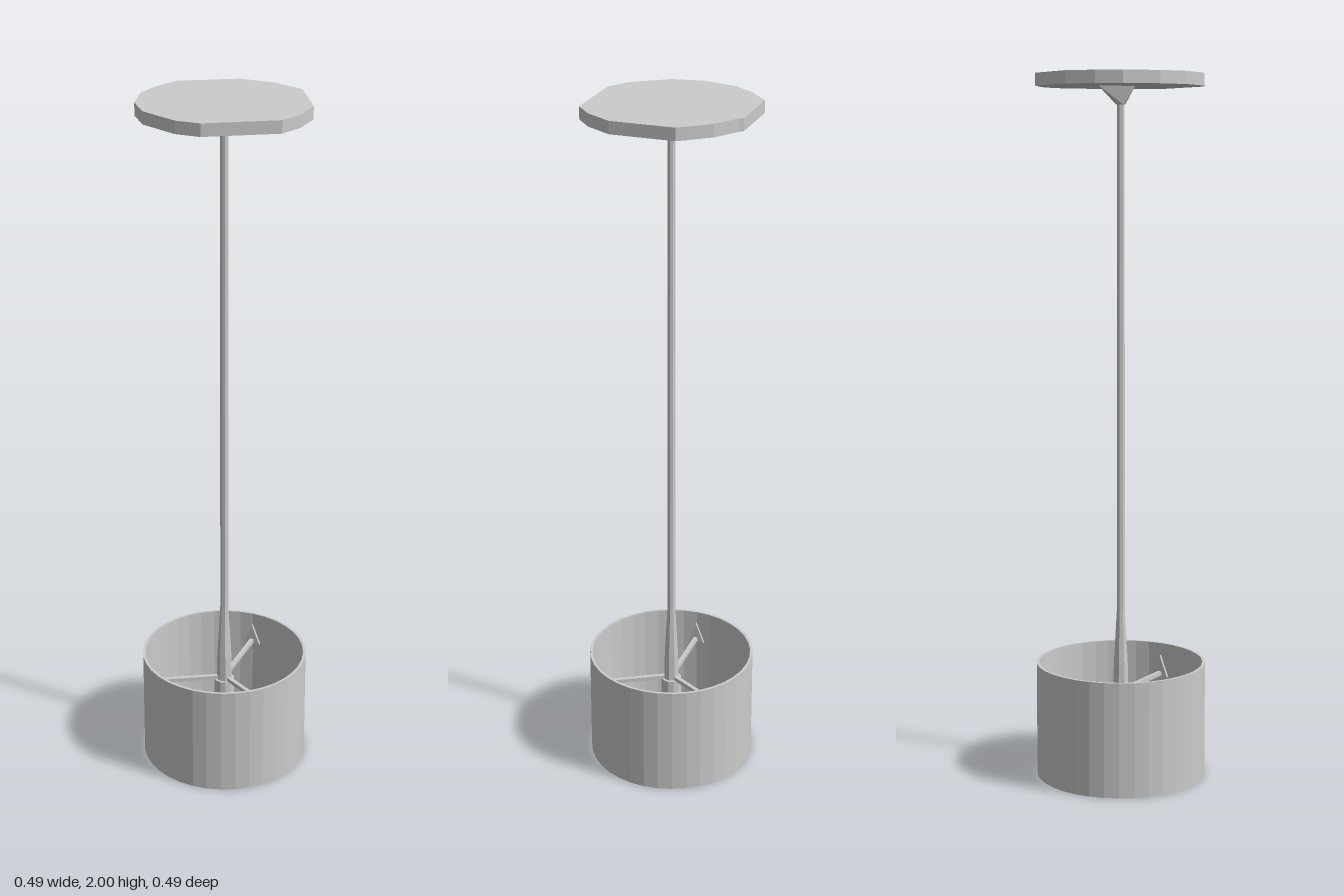
import * as THREE from 'three';
import { ConvexGeometry } from 'three/addons/geometries/ConvexGeometry.js';

export function createModel() {
  const root = new THREE.Group();
  root.name = 'pendantLamp';
  const flat = new THREE.MeshStandardMaterial({ color: 0xcccccc, flatShading: true, side: THREE.DoubleSide });
  const smooth = new THREE.MeshStandardMaterial({ color: 0xcccccc });
  const add = (name, geometry, material = flat, parent = root) => {
    const mesh = new THREE.Mesh(geometry, material);
    mesh.name = name;
    parent.add(mesh);
    return mesh;
  };
  const lathe = (pts, sides) => new THREE.LatheGeometry(pts.map(([r, y]) => new THREE.Vector2(r, y)), sides);

  // Ceiling plate: a slightly irregular faceted disc, outline given as x, z
  const outline = [
    [-0.09, 0.215], [0.12, 0.212], [0.175, 0.165], [0.222, 0.09], [0.224, -0.09], [0.205, -0.115],
    [0.16, -0.17], [0.09, -0.215], [0.08, -0.225], [-0.1, -0.225], [-0.165, -0.17], [-0.21, -0.11],
    [-0.236, -0.01], [-0.222, 0.08], [-0.15, 0.18],
  ];
  const plate = new THREE.Shape(outline.map(([x, z]) => new THREE.Vector2(x, -z)));
  const canopy = add('ceilingPlate', new THREE.ExtrudeGeometry(plate, { depth: 0.035, bevelEnabled: false }));
  canopy.rotation.x = -Math.PI / 2;
  canopy.position.y = 1.965;

  // Lopsided collar between plate and rod
  const collar = [];
  for (const [x, z] of [[-0.03, 0.03], [0.1, 0.03], [-0.03, -0.09]]) collar.push(new THREE.Vector3(x, 1.967, z));
  for (let i = 0; i < 6; i++) {
    const a = i * Math.PI / 3;
    collar.push(new THREE.Vector3(0.013 * Math.cos(a), 1.915, 0.013 * Math.sin(a)));
  }
  add('collar', new ConvexGeometry(collar));

  // Rod with its flared foot
  add('rod', lathe([[0, 0.23], [0.023, 0.23], [0.021, 0.32], [0.012, 0.48], [0.011, 1.97]], 8));

  // Open drum shade with wall thickness
  add('shade', lathe([[0.243, 0], [0.243, 0.33], [0.235, 0.33], [0.235, 0], [0.243, 0]], 36));

  // Three spokes, each ending in a triangular tab on the shade wall
  const tab = new THREE.Shape([[-0.025, -0.01], [0.025, -0.01], [0, 0.055]].map(([x, y]) => new THREE.Vector2(x, y)));
  for (let i = 0; i < 3; i++) {
    const arm = new THREE.Group();
    arm.name = 'spoke' + (i + 1);
    arm.rotation.y = Math.PI + i * Math.PI * 2 / 3;
    root.add(arm);
    add('spokeBar', new THREE.BoxGeometry(0.225, 0.012, 0.012), flat, arm).position.set(0.122, 0.24, 0);
    const end = add('spokeTab', new THREE.ExtrudeGeometry(tab, { depth: 0.008, bevelEnabled: false }), flat, arm);
    end.rotation.y = Math.PI / 2;
    end.position.set(0.225, 0.24, 0);
  }

  // Socket and round bulb
  add('socket', lathe([[0, 0.13], [0.03, 0.13], [0.03, 0.235], [0, 0.235]], 12));
  add('bulb', lathe([[0, 0.035], [0.025, 0.041], [0.045, 0.058], [0.055, 0.09], [0.048, 0.12], [0.03, 0.15], [0, 0.15]], 16), smooth);

  return root;
}
